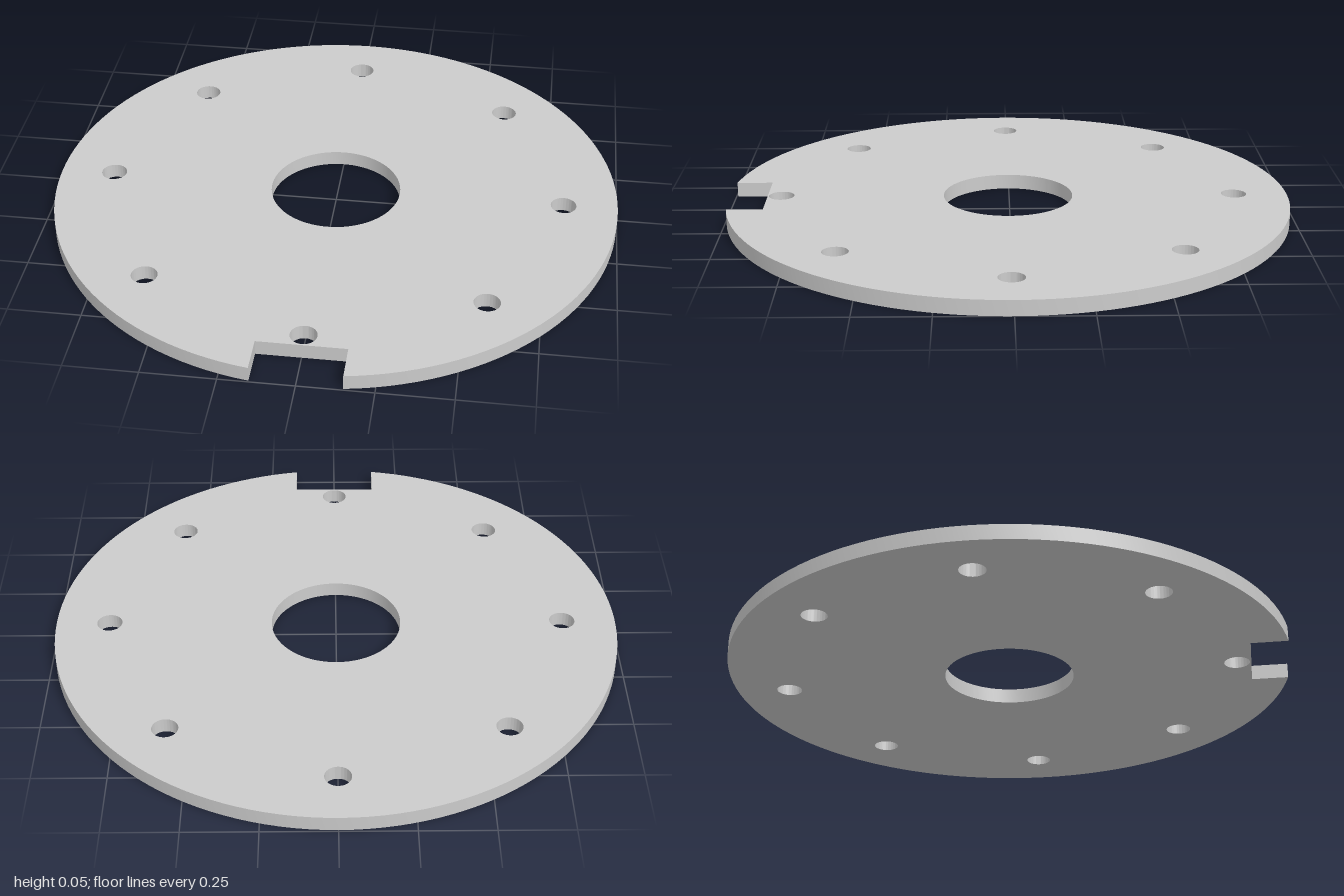
import * as THREE from 'three';
import { toCreasedNormals } from 'three/addons/utils/BufferGeometryUtils.js';

const THICKNESS = 0.053;
const NOTCH_HALF = 0.15;
const NOTCH_DEPTH_AT = 0.86;
const BOLT_CIRCLE = 0.81;

function circlePath(x, y, r) {
  return new THREE.Path().absarc(x, y, r, 0, Math.PI * 2, true);
}

export function createModel() {
  const group = new THREE.Group();
  group.name = 'flangePlate';

  // Round outline with a rectangular notch at the front
  const a = Math.asin(NOTCH_HALF);
  const shape = new THREE.Shape();
  shape.absarc(0, 0, 1, -Math.PI / 2 + a, Math.PI * 1.5 - a, false);
  shape.lineTo(-NOTCH_HALF, -NOTCH_DEPTH_AT);
  shape.lineTo(NOTCH_HALF, -NOTCH_DEPTH_AT);
  shape.closePath();

  // Centre bore and eight bolt holes
  shape.holes.push(circlePath(0, 0, 0.23));
  for (let i = 0; i < 8; i++) {
    const t = (i * Math.PI) / 4;
    shape.holes.push(circlePath(BOLT_CIRCLE * Math.cos(t), BOLT_CIRCLE * Math.sin(t), 0.045));
  }

  // Extrude, lay flat and centre front to back
  let geometry = new THREE.ExtrudeGeometry(shape, { depth: THICKNESS, bevelEnabled: false, curveSegments: 64 });
  geometry.rotateX(-Math.PI / 2);
  geometry.translate(0, 0, (1 - Math.cos(a)) / 2);
  geometry = toCreasedNormals(geometry, 0.5);

  const plate = new THREE.Mesh(geometry, new THREE.MeshStandardMaterial({ color: 0xcccccc }));
  plate.name = 'notchedPlate';
  group.add(plate);
  return group;
}
